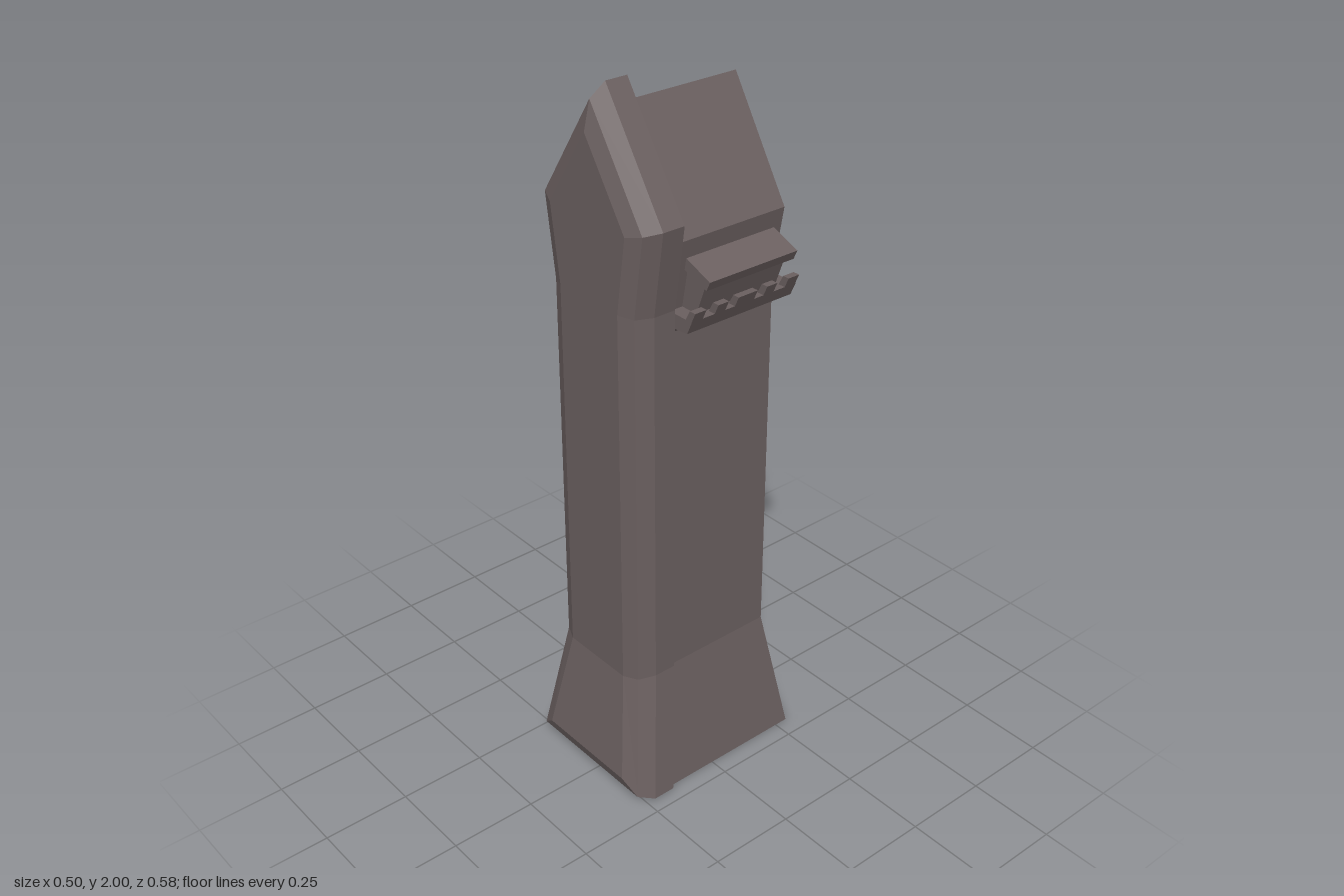
import * as THREE from 'three';

const AXIS = -0.017; // symmetry axis of the tower in x
const stone = new THREE.MeshStandardMaterial({ color: 0x6b6060, flatShading: true });

// Full counter-clockwise outline from a right-hand half profile ending at the apex
function mirrorOutline(half) {
  const left = half.slice(0, -1).reverse().map(([x, y]) => [-x, y]);
  return [...half, ...left];
}

// Move every edge of the outline inward by d, with mitred corners
function inset(points, d) {
  const n = points.length;
  const normal = (a, b) => {
    const dx = b[0] - a[0], dy = b[1] - a[1], l = Math.hypot(dx, dy);
    return [-dy / l, dx / l];
  };
  return points.map((p, i) => {
    const a = normal(points[(i + n - 1) % n], p);
    const b = normal(p, points[(i + 1) % n]);
    const k = d / (1 + a[0] * b[0] + a[1] * b[1]);
    return [p[0] + k * (a[0] + b[0]), p[1] + k * (a[1] + b[1])];
  });
}

// Loft the outline through rings from back to front; each ring flares in z towards the foot
function loft(name, half, rings) {
  const outline = mirrorOutline(half);
  const n = outline.length, pos = [], index = [];
  for (const { z, d = 0, flare } of rings) {
    for (const [x, y] of inset(outline, d)) {
      pos.push(x + AXIS, y, z + flare * Math.max(0, 0.38 - y) / 0.38);
    }
  }
  const quad = (a, b, c, e) => index.push(a, b, c, a, c, e);
  for (let r = 0; r < rings.length - 1; r++) {
    for (let i = 0; i < n; i++) {
      const j = (i + 1) % n, o = r * n;
      quad(o + i, o + j, o + n + j, o + n + i);
    }
  }
  // Caps: rows of quads across the width and a triangle under the apex
  const f = (rings.length - 1) * n, m = (n - 1) / 2;
  for (let i = 0; i < m - 1; i++) {
    quad(f + i, f + i + 1, f + n - 2 - i, f + n - 1 - i);
    quad(n - 1 - i, n - 2 - i, i + 1, i);
  }
  index.push(f + m - 1, f + m, f + m + 1, m + 1, m, m - 1);

  const g = new THREE.BufferGeometry();
  g.setAttribute('position', new THREE.Float32BufferAttribute(pos, 3));
  g.setIndex(index);
  const flat = g.toNonIndexed();
  flat.computeVertexNormals();
  const mesh = new THREE.Mesh(flat, stone);
  mesh.name = name;
  return mesh;
}

// Prism with an x-y section running from z0 to z1
function prism(name, section, z0, z1) {
  const shape = new THREE.Shape(section.map(([x, y]) => new THREE.Vector2(x, y)));
  const g = new THREE.ExtrudeGeometry(shape, { depth: z1 - z0, bevelEnabled: false });
  g.translate(0, 0, z0);
  const mesh = new THREE.Mesh(g, stone);
  mesh.name = name;
  return mesh;
}

export function createModel() {
  const group = new THREE.Group();
  group.name = 'tower';

  // Main shaft with flared foot and gabled roof
  group.add(loft('shaft',
    [[0.212, 0], [0.152, 0.37], [0.152, 1.45], [0.187, 1.64], [0, 1.94]],
    [{ z: -0.23, flare: -0.06 }, { z: 0.112, flare: 0.055 }]));

  // Larger front slab with a two-step chamfer
  group.add(loft('frontSlab',
    [[0.232, 0.01], [0.172, 0.38], [0.172, 1.46], [0.206, 1.69], [0, 2]],
    [
      { z: 0.11, flare: 0.055 },
      { z: 0.175, flare: 0.055 },
      { z: 0.222, d: 0.018, flare: 0.057 },
      { z: 0.24, d: 0.06, flare: 0.061 },
    ]));

  // Balcony on the left side
  const balcony = new THREE.Group();
  balcony.name = 'balcony';
  const mid = -0.06;
  balcony.add(prism('balconyTray',
    [[0.12, 1.4], [0.15, 1.4], [0.155, 1.41], [0.2, 1.413], [0.217, 1.45], [0.12, 1.45]], -0.233, 0.11));
  for (const [offset, width] of [[-0.153, 0.036], [-0.08, 0.034], [0, 0.063], [0.08, 0.034], [0.153, 0.036]]) {
    balcony.add(prism('merlon',
      [[0.195, 1.45], [0.217, 1.45], [0.23, 1.478], [0.21, 1.478]],
      mid + offset - width / 2, mid + offset + width / 2));
  }
  balcony.add(prism('cabin',
    [[0.12, 1.45], [0.188, 1.45], [0.225, 1.55], [0.15, 1.58]], -0.19, 0.07));
  balcony.add(prism('cabinRoof',
    [[0.14, 1.563], [0.234, 1.53], [0.246, 1.556], [0.15, 1.594]], -0.205, 0.08));
  group.add(balcony);

  return group;
}
